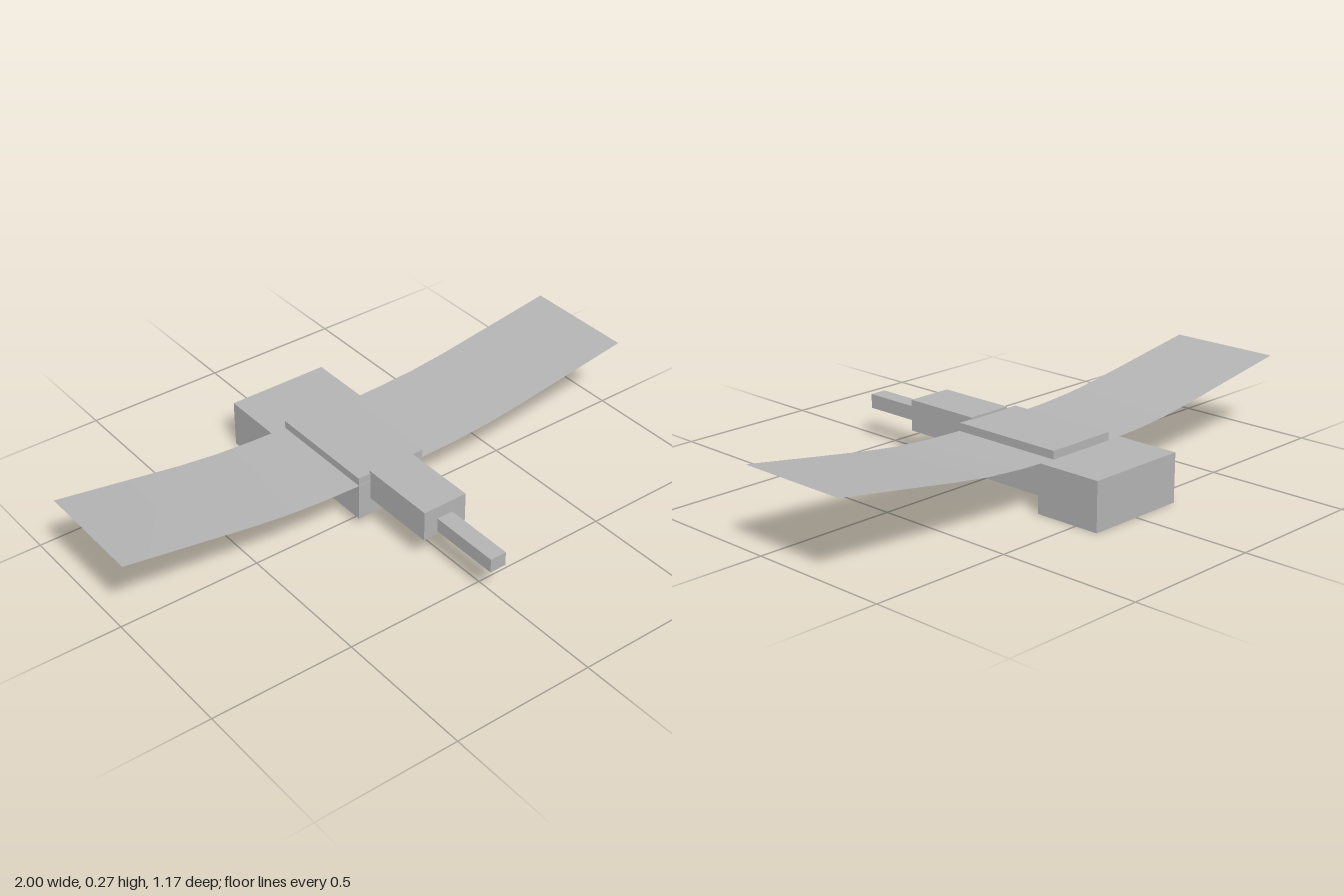
import * as THREE from 'three';

export function createModel() {
  const model = new THREE.Group();
  const grey = new THREE.MeshStandardMaterial({ color: 0xb4b4b4, side: THREE.DoubleSide });
  grey.name = 'plain grey';

  // Box given by half width, bottom, top, back and front
  function block(name, halfWidth, y0, y1, z0, z1) {
    const mesh = new THREE.Mesh(new THREE.BoxGeometry(2 * halfWidth, y1 - y0, z1 - z0), grey);
    mesh.position.set(0, (y0 + y1) / 2, (z0 + z1) / 2);
    mesh.name = name;
    model.add(mesh);
  }

  block('body', 0.13, 0.033, 0.195, -0.358, 0.05);
  block('tail', 0.185, 0, 0.167, -0.585, -0.345);
  block('head', 0.083, 0.095, 0.203, 0.045, 0.327);
  block('beak', 0.03, 0.107, 0.157, 0.32, 0.585);

  // Thin wing sheets: span position, height and back edge of each section
  const sections = [
    [0, 0.167, -0.358], [0.13, 0.167, -0.358], [0.27, 0.171, -0.358], [0.41, 0.181, -0.356],
    [0.55, 0.199, -0.354], [1, 0.27, -0.353],
  ];
  const frontEdge = 0.052;

  function wing(name, side) {
    const points = [];
    const index = [];
    sections.forEach(([x, y, back], i) => {
      points.push(side * x, y, frontEdge, side * x, y, back);
      if (i === 0) return;
      const a = 2 * (i - 1);
      // Corner order keeps the upper face outward on both sides
      if (side > 0) index.push(a, a + 2, a + 1, a + 1, a + 2, a + 3);
      else index.push(a, a + 1, a + 2, a + 1, a + 3, a + 2);
    });
    const geometry = new THREE.BufferGeometry();
    geometry.setAttribute('position', new THREE.Float32BufferAttribute(points, 3));
    geometry.setIndex(index);
    geometry.computeVertexNormals();
    const mesh = new THREE.Mesh(geometry, grey);
    mesh.name = name;
    model.add(mesh);
  }

  wing('leftWing', 1);
  wing('rightWing', -1);

  return model;
}
